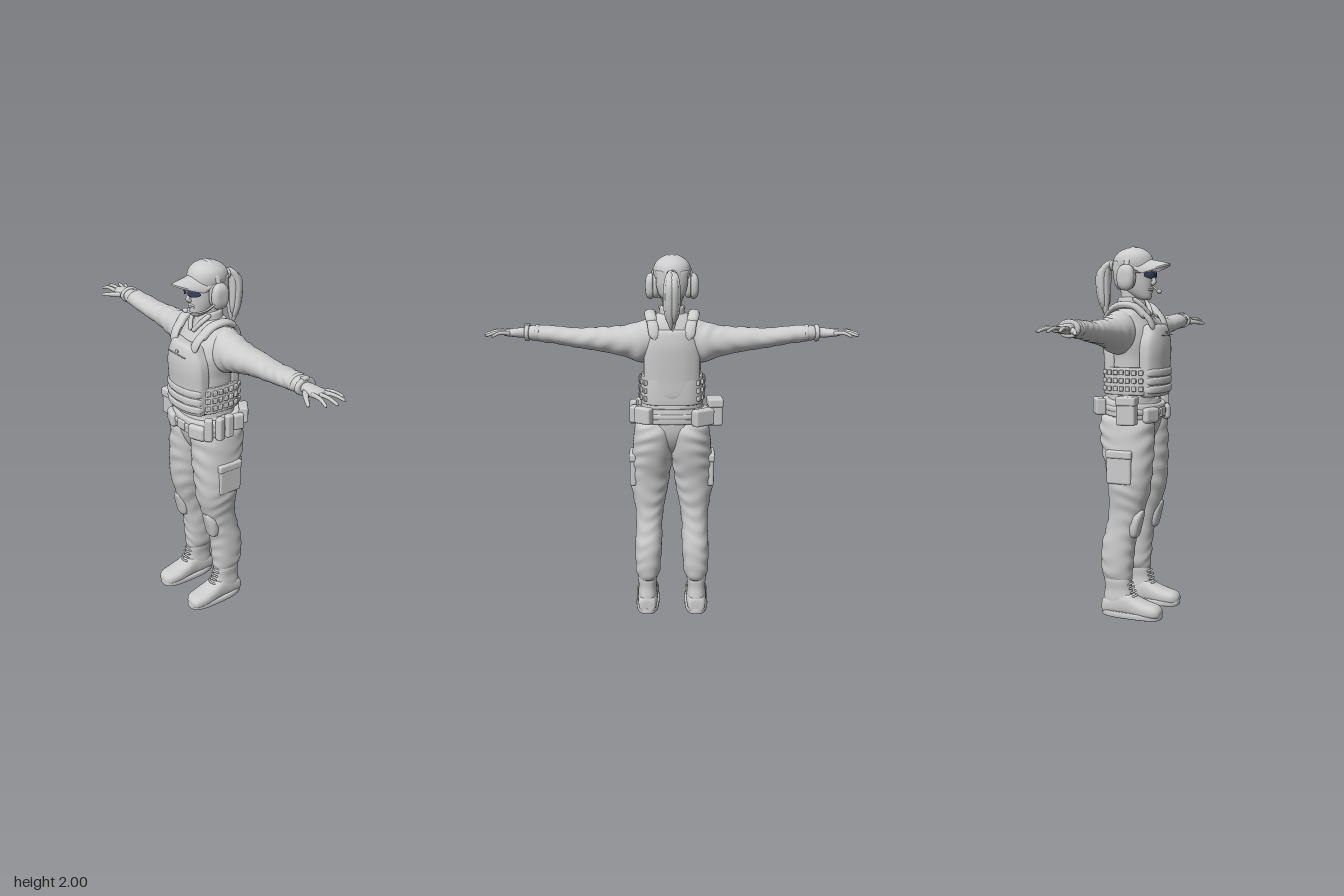
import * as THREE from 'three';
import { mergeVertices } from 'three/addons/utils/BufferGeometryUtils.js';
import { RoundedBoxGeometry } from 'three/addons/geometries/RoundedBoxGeometry.js';

// Axis order [along, u, v] for each loft direction
const AXES = { x: [0, 2, 1], y: [1, 0, 2], z: [2, 1, 0] };

function smoothRow(rows, i, t) {
  const at = k => rows[Math.max(0, Math.min(rows.length - 1, k))];
  const [a, b, c, d] = [at(i - 1), at(i), at(i + 1), at(i + 2)];
  return b.map((_, j) => b[j] + 0.5 * t * (c[j] - a[j] + t * (2 * a[j] - 5 * b[j] + 4 * c[j] - d[j]
    + t * (3 * (b[j] - c[j]) + d[j] - a[j]))));
}

// Skin through cross-sections [along, u min, u max, v min, v max]; p squares them, fold adds cloth wrinkles
function loft(rows, { axis = 'y', n = 40, p = 2, sub = 4, fold = 0, bend = null } = {}) {
  const [A, U, V] = AXES[axis], pos = [], index = [], rings = [];
  for (let i = 0; i < rows.length - 1; i++)
    for (let s = 0; s < sub; s++) rings.push(smoothRow(rows, i, s / sub));
  rings.push(rows[rows.length - 1]);
  const put = (t, u, v) => {
    const q = [0, 0, 0];
    q[A] = t; q[U] = u; q[V] = v;
    if (bend) bend(q);
    pos.push(...q);
  };
  const pow = c => Math.sign(c) * Math.abs(c) ** (2 / p);
  for (const [t, u0, u1, v0, v1] of rings)
    for (let j = 0; j < n; j++) {
      const a = j / n * Math.PI * 2;
      const w = 1 + fold * Math.sin(t * 75 + 2.2 * Math.sin(a * 2 + t * 8)) * (0.6 + 0.4 * Math.sin(a * 3 + t * 11));
      put(t, (u0 + u1) / 2 + (u1 - u0) / 2 * pow(Math.cos(a)) * w, (v0 + v1) / 2 + (v1 - v0) / 2 * pow(Math.sin(a)) * w);
    }
  for (let k = 0; k < rings.length - 1; k++)
    for (let j = 0; j < n; j++) {
      const a = k * n + j, b = k * n + (j + 1) % n;
      index.push(a, a + n, b, b, a + n, b + n);
    }
  const last = rings.length - 1, c = rings.length * n;
  for (const k of [0, last]) put(rings[k][0], (rings[k][1] + rings[k][2]) / 2, (rings[k][3] + rings[k][4]) / 2);
  for (let j = 0; j < n; j++) {
    const m = (j + 1) % n;
    index.push(c, j, m, c + 1, last * n + m, last * n + j);
  }
  const g = new THREE.BufferGeometry();
  g.setAttribute('position', new THREE.Float32BufferAttribute(pos, 3));
  g.setIndex(index);
  g.computeVertexNormals();
  return g;
}
// Sections symmetric about x = 0: [y, half width, z min, z max]
const body = (rows, opt) => loft(rows.map(([y, w, a, b]) => [y, -w, w, a, b]), opt);

// Tube whose radius follows r(t), optionally flattened per axis
function tube(points, r, flat = [1, 1, 1], segs = 20, radial = 12) {
  const curve = new THREE.CatmullRomCurve3(points.map(q => new THREE.Vector3(...q)));
  let g = new THREE.TubeGeometry(curve, segs, 1, radial);
  const at = g.attributes.position, v = new THREE.Vector3(), f = new THREE.Vector3(...flat);
  for (let i = 0; i < at.count; i++) {
    const t = Math.floor(i / (radial + 1)) / segs, c = curve.getPointAt(t);
    v.fromBufferAttribute(at, i).sub(c).multiply(f).multiplyScalar(Math.max(0.0004, r(t))).add(c);
    at.setXYZ(i, v.x, v.y, v.z);
  }
  g.deleteAttribute('uv');
  g.deleteAttribute('normal');
  g = mergeVertices(g, 1e-6);
  g.computeVertexNormals();
  return g;
}
const rounded = (r0, r1 = r0) => t => (r0 + (r1 - r0) * t) * Math.min(1, Math.sqrt(t * (1 - t)) * 4);

function mirrored(geo) {
  const g = geo.index ? geo.clone() : mergeVertices(geo);
  g.scale(-1, 1, 1);
  const ix = g.index.array;
  for (let i = 0; i < ix.length; i += 3) [ix[i], ix[i + 1]] = [ix[i + 1], ix[i]];
  return g;
}
function box(x, y, z, w, h, d, rot = 0, r = 0.012) {
  return new RoundedBoxGeometry(w, h, d, 2, Math.min(r, w / 2.1, h / 2.1, d / 2.1)).rotateY(rot).translate(x, y, z);
}

export function createModel() {
  const model = new THREE.Group();
  const grey = new THREE.MeshStandardMaterial({ color: 0xcccccc });
  grey.name = 'light grey';
  const blue = new THREE.MeshStandardMaterial({ color: 0x33435f });
  blue.name = 'lens blue';
  const add = (name, geo, mat = grey) => {
    const m = new THREE.Mesh(geo, mat);
    m.name = name;
    model.add(m);
  };
  const pair = (name, geo, mat) => {
    add(name + 'Left', geo, mat);
    add(name + 'Right', mirrored(geo), mat);
  };

  // Trousers
  pair('trouserLeg', loft([[0.2, 0.085, 0.19, -0.11, 0.038], [0.235, 0.068, 0.2, -0.125, 0.045], [0.3, 0.062, 0.205, -0.13, 0.05],
    [0.4, 0.055, 0.205, -0.125, 0.06], [0.5, 0.055, 0.2, -0.1, 0.08], [0.6, 0.045, 0.205, -0.085, 0.113], [0.7, 0.025, 0.222, -0.09, 0.14],
    [0.8, 0.01, 0.227, -0.1, 0.148], [0.9, -0.002, 0.22, -0.127, 0.155], [1, -0.012, 0.212, -0.145, 0.155], [1.08, -0.01, 0.2, -0.145, 0.15],
    [1.12, 0.01, 0.17, -0.12, 0.13]], { fold: 0.035, sub: 6, p: 2.2 }));
  add('hips', body([[0.93, 0.03, -0.05, 0.07], [0.97, 0.1, -0.09, 0.11], [1.04, 0.19, -0.125, 0.14], [1.12, 0.195, -0.135, 0.15],
    [1.2, 0.165, -0.125, 0.135]]));
  pair('kneePad', loft([[0.445, 0.125, 0.16, 0.04, 0.08], [0.46, 0.105, 0.18, 0.04, 0.09], [0.5, 0.096, 0.188, 0.04, 0.1],
    [0.55, 0.098, 0.186, 0.05, 0.112], [0.585, 0.11, 0.174, 0.06, 0.12], [0.6, 0.125, 0.16, 0.07, 0.118]], { p: 2.6 }));
  pair('thighPocket', box(0.212, 0.83, 0.005, 0.036, 0.17, 0.14));
  pair('pocketFlap', box(0.214, 0.905, 0.005, 0.042, 0.045, 0.148));

  // Boots
  pair('bootShaft', loft([[0.06, 0.085, 0.19, -0.115, 0.07], [0.1, 0.084, 0.192, -0.116, 0.062], [0.15, 0.088, 0.188, -0.108, 0.045],
    [0.2, 0.083, 0.193, -0.11, 0.04], [0.235, 0.09, 0.185, -0.1, 0.03]], { p: 2.4 }));
  pair('bootFoot', loft([[-0.12, 0.02, 0.07, 0.11, 0.165], [-0.11, 0.005, 0.1, 0.092, 0.185], [-0.05, 0.004, 0.125, 0.082, 0.193],
    [0.02, 0.004, 0.14, 0.08, 0.196], [0.08, 0.004, 0.11, 0.077, 0.2], [0.14, 0.004, 0.088, 0.076, 0.203], [0.19, 0.006, 0.076, 0.085, 0.196],
    [0.212, 0.012, 0.06, 0.105, 0.18], [0.219, 0.02, 0.045, 0.12, 0.16]], { axis: 'z', p: 2.5 }));
  pair('bootSole', loft([[0, 0.076, 0.2, -0.12, 0.216], [0.006, 0.073, 0.204, -0.123, 0.221], [0.026, 0.073, 0.204, -0.123, 0.221],
    [0.032, 0.08, 0.198, -0.118, 0.214]], { p: 2.8, sub: 2 }));
  for (let i = 0; i < 5; i++) {
    const y = 0.115 + i * 0.022, z = 0.075 - i * 0.008;
    pair('bootLace' + (i + 1), tube([[0.105, y, z - 0.018], [0.138, y + 0.006, z], [0.17, y, z - 0.018]], rounded(0.006), [1, 1, 1], 8, 6));
  }

  // Jacket, collar and sleeves
  add('jacket', body([[1.12, 0.17, -0.125, 0.135], [1.2, 0.165, -0.125, 0.135], [1.3, 0.158, -0.115, 0.13], [1.4, 0.155, -0.12, 0.14],
    [1.5, 0.172, -0.135, 0.14], [1.57, 0.178, -0.135, 0.115], [1.63, 0.155, -0.12, 0.08], [1.67, 0.11, -0.105, 0.06], [1.695, 0.07, -0.09, 0.05]],
  { p: 2.3, fold: 0.012 }));
  add('collar', body([[1.65, 0.085, -0.1, 0.08], [1.69, 0.07, -0.092, 0.068], [1.725, 0.064, -0.088, 0.06], [1.732, 0.055, -0.08, 0.05]],
    { bend: q => { q[1] -= 0.25 * Math.max(0, q[2]); } }));
  pair('collarLapel', tube([[0.062, 1.725, 0.02], [0.045, 1.69, 0.065], [0.008, 1.635, 0.1]], rounded(0.013), [1, 1, 0.8]));
  pair('sleeve', loft([[0.09, -0.115, 0.06, 1.47, 1.665], [0.16, -0.125, 0.072, 1.43, 1.655], [0.22, -0.12, 0.07, 1.452, 1.636],
    [0.3, -0.11, 0.058, 1.475, 1.624], [0.4, -0.1, 0.045, 1.495, 1.62], [0.5, -0.09, 0.045, 1.51, 1.614], [0.6, -0.078, 0.05, 1.527, 1.622],
    [0.68, -0.068, 0.05, 1.537, 1.627], [0.74, -0.058, 0.045, 1.547, 1.625], [0.77, -0.045, 0.035, 1.558, 1.613]],
  { axis: 'x', fold: 0.035, sub: 6 }));
  for (const [i, x] of [0.7, 0.755].entries())
    pair('wristBand' + (i + 1), loft([[x, -0.06, 0.045, 1.55, 1.622], [x + 0.004, -0.066, 0.052, 1.542, 1.63],
      [x + 0.02, -0.064, 0.05, 1.543, 1.63], [x + 0.024, -0.055, 0.04, 1.552, 1.62]], { axis: 'x', sub: 2 }));
  add('watch', box(0.766, 1.627, -0.005, 0.03, 0.016, 0.036, 0, 0.005));

  // Hands
  pair('palm', loft([[0.765, -0.032, 0.028, 1.562, 1.61], [0.8, -0.036, 0.034, 1.56, 1.612], [0.84, -0.046, 0.04, 1.565, 1.608],
    [0.875, -0.05, 0.04, 1.57, 1.602], [0.89, -0.04, 0.03, 1.575, 1.597]], { axis: 'x', p: 2.3 }));
  const fingers = { little: [-0.04, 0.945, -0.09], ring: [-0.018, 0.984, -0.065], middle: [0.006, 1, -0.005], index: [0.029, 0.982, 0.052] };
  for (const [name, [z0, x, z]] of Object.entries(fingers))
    pair(name + 'Finger', tube([[0.85, 1.588, z0], [(0.87 + x) / 2, 1.593, (z0 + z) / 2], [x, 1.577, z]], rounded(0.0125, 0.007), [1, 1, 1], 12, 8));
  pair('thumb', tube([[0.8, 1.58, 0.02], [0.855, 1.575, 0.062], [0.912, 1.565, 0.097]], rounded(0.018, 0.008), [1, 1, 1], 12, 8));

  // Head and face
  add('neck', body([[1.64, 0.055, -0.075, 0.035], [1.7, 0.05, -0.07, 0.04], [1.79, 0.052, -0.075, 0.05]]));
  add('head', body([[1.715, 0.022, 0.045, 0.09], [1.728, 0.04, 0.005, 0.101], [1.76, 0.058, -0.05, 0.104], [1.8, 0.07, -0.085, 0.106],
    [1.85, 0.077, -0.102, 0.106], [1.9, 0.08, -0.105, 0.104], [1.95, 0.06, -0.08, 0.08]]));
  add('nose', tube([[0, 1.855, 0.1], [0, 1.83, 0.112], [0, 1.81, 0.118], [0, 1.8, 0.1]], rounded(0.006, 0.014)));
  for (const [name, y] of [['upperLip', 1.779], ['lowerLip', 1.77]])
    add(name, tube([[-0.026, y, 0.092], [0, y, 0.108], [0.026, y, 0.092]], rounded(0.006)));
  add('hair', body([[1.77, 0.045, -0.085, -0.02], [1.8, 0.07, -0.102, -0.01], [1.86, 0.083, -0.112, 0], [1.92, 0.084, -0.11, 0]], { fold: 0.015 }));

  // Ponytail made of overlapping locks
  for (let i = 0; i < 6; i++) {
    const a = i / 6 * Math.PI * 2, dx = 0.02 * Math.cos(a), dz = 0.017 * Math.sin(a), tip = 0.025 * Math.sin(i * 2.3);
    add('hairLock' + (i + 1), tube([[0, 1.895, -0.1], [dx * 0.6, 1.905 + dz * 0.5, -0.145], [dx, 1.86, -0.175 + dz], [dx * 1.1, 1.77, -0.178 + dz],
      [dx, 1.7, -0.172 + dz * 0.8], [dx * 0.4, 1.645 + tip, -0.165]], t => 0.024 * Math.sqrt(Math.sin(Math.PI * Math.min(1, 0.04 + t * 0.96)))));
  }
  add('hairTie', new THREE.TorusGeometry(0.021, 0.009, 8, 20).translate(0, 1.9, -0.125));

  // Cap with an arched brim
  add('capCrown', body([[1.868, 0.086, -0.108, 0.1], [1.88, 0.092, -0.114, 0.107], [1.915, 0.097, -0.115, 0.107], [1.95, 0.089, -0.1, 0.096],
    [1.976, 0.064, -0.068, 0.07], [1.99, 0.034, -0.034, 0.04], [1.994, 0.008, -0.008, 0.012]]));
  const brim = new THREE.BoxGeometry(2, 0.009, 1, 20, 1, 10);
  const bp = brim.attributes.position;
  for (let i = 0; i < bp.count; i++) {
    const u = bp.getX(i), v = bp.getZ(i) + 0.5;
    bp.setXYZ(i, 0.09 * u * (1 - 0.1 * v), 1.925 - 0.022 * v - 0.042 * u * u + bp.getY(i),
      0.1 - 0.07 * u * u + v * 0.108 * Math.sqrt(1 - 0.8 * u * u));
  }
  brim.computeVertexNormals();
  add('capBrim', brim);

  // Sunglasses
  const wrap = g => {
    const q = g.attributes.position;
    for (let i = 0; i < q.count; i++) q.setZ(i, q.getZ(i) + 0.125 - 8.5 * q.getX(i) ** 2);
    g.computeVertexNormals();
    return g;
  };
  pair('lens', wrap(new THREE.SphereGeometry(1, 24, 16).scale(0.031, 0.019, 0.004).translate(0.037, 1.848, 0)), blue);
  add('glassesFrame', wrap(tube([[-0.072, 1.86, 0], [-0.036, 1.868, 0], [0, 1.86, 0], [0.036, 1.868, 0], [0.072, 1.86, 0]], rounded(0.004))));
  pair('glassesTemple', tube([[0.07, 1.86, 0.083], [0.083, 1.862, 0.04], [0.085, 1.86, -0.01]], rounded(0.004)));

  // Ear defenders with microphone
  pair('earCup', loft([[0.07, -0.036, 0.036, 1.785, 1.885], [0.08, -0.045, 0.045, 1.772, 1.898], [0.096, -0.045, 0.045, 1.772, 1.898],
    [0.1, -0.038, 0.038, 1.78, 1.89], [0.106, -0.048, 0.048, 1.766, 1.902], [0.126, -0.046, 0.046, 1.77, 1.895],
    [0.137, -0.034, 0.034, 1.79, 1.875], [0.14, -0.02, 0.02, 1.81, 1.855]], { axis: 'x', p: 2.5 }));
  add('headband', new THREE.TorusGeometry(0.107, 0.007, 8, 40, Math.PI).scale(1, 1.22, 2.2).translate(0, 1.86, 0));
  add('microphoneBoom', tube([[0.125, 1.81, 0.03], [0.11, 1.775, 0.085], [0.06, 1.757, 0.13], [0.012, 1.76, 0.14]], rounded(0.005)));
  add('microphone', new THREE.SphereGeometry(0.013, 16, 12).scale(1.3, 1, 1).translate(0.012, 1.76, 0.142));

  // Plate carrier
  const bowFront = q => { q[2] -= 2 * q[0] * q[0]; }, bowBack = q => { q[2] += 1.8 * q[0] * q[0]; };
  add('frontPlate', body([[1.205, 0.125, 0.13, 0.172], [1.215, 0.14, 0.12, 0.19], [1.26, 0.147, 0.12, 0.195], [1.36, 0.147, 0.12, 0.195],
    [1.44, 0.148, 0.12, 0.2], [1.5, 0.141, 0.12, 0.197], [1.555, 0.115, 0.11, 0.186], [1.58, 0.102, 0.11, 0.174], [1.588, 0.092, 0.12, 0.16]],
  { p: 5, n: 64, bend: bowFront }));
  for (let i = 0; i < 3; i++) {
    const y = 1.225 + i * 0.045;
    add('frontRib' + (i + 1), body([[y, 0.136, 0.15, 0.194], [y + 0.008, 0.146, 0.15, 0.202], [y + 0.032, 0.146, 0.15, 0.202],
      [y + 0.041, 0.136, 0.15, 0.195]], { p: 5, n: 64, bend: bowFront }));
  }
  add('chestTab', box(0, 1.545, 0.188, 0.022, 0.014, 0.012, 0, 0.004));
  add('chestSeam', box(0, 1.53, 0.192, 0.15, 0.004, 0.008, 0, 0.002));
  add('backPlate', body([[1.255, 0.125, -0.13, -0.09], [1.265, 0.14, -0.145, -0.08], [1.35, 0.147, -0.148, -0.08], [1.47, 0.147, -0.155, -0.08],
    [1.54, 0.132, -0.156, -0.08], [1.605, 0.105, -0.146, -0.08], [1.62, 0.092, -0.132, -0.09]], { p: 5, n: 64, bend: bowBack }));
  pair('shoulderStrap', tube([[0.085, 1.55, 0.155], [0.098, 1.62, 0.125], [0.112, 1.675, 0.055], [0.114, 1.683, -0.03], [0.1, 1.645, -0.105],
    [0.088, 1.57, -0.14]], rounded(0.013), [2.2, 1, 1], 32));
  pair('shoulderPad', tube([[0.1, 1.62, 0.118], [0.113, 1.68, 0.055], [0.115, 1.69, -0.03], [0.103, 1.655, -0.1]], rounded(0.019), [1.6, 1, 1], 24));

  // Side band with webbing loops
  add('sideBand', body([[1.22, 0.162, -0.135, 0.155], [1.23, 0.17, -0.142, 0.16], [1.35, 0.166, -0.142, 0.16], [1.362, 0.158, -0.135, 0.155]], { p: 3 }));
  for (let r = 0; r < 3; r++)
    for (let i = 0; i < 7; i++) {
      const z = -0.105 + i * 0.035, e = (z - 0.01) / 0.152;
      const x = 0.17 * (1 - Math.abs(e) ** 3) ** (1 / 3);
      pair(`webbingLoop${r + 1}_${i + 1}`, box(x, 1.25 + r * 0.043, z, 0.02, 0.026, 0.025, -Math.sign(e) * e * e * 0.8, 0.005));
    }

  // Belt, tilted down at the front, with pouches
  const tilt = q => { q[1] -= 0.12 * q[2]; };
  add('belt', body([[1.1, 0.195, -0.148, 0.155], [1.108, 0.206, -0.156, 0.165], [1.172, 0.2, -0.154, 0.162], [1.182, 0.188, -0.145, 0.152]],
    { p: 2.3, bend: tilt }));
  add('beltTrim', body([[1.125, 0.2, -0.15, 0.16], [1.13, 0.21, -0.16, 0.169], [1.152, 0.209, -0.159, 0.168], [1.157, 0.2, -0.15, 0.16]],
    { p: 2.3, sub: 2, bend: tilt }));
  add('buckle', box(0, 1.118, 0.166, 0.06, 0.05, 0.02, 0, 0.006));
  pair('frontPouch', box(0.115, 1.11, 0.145, 0.105, 0.085, 0.045, 0.4, 0.02));
  const pouches = [['holsterPouch', -0.236, 1.142, 0.06, 0.075, 0.15, 0.1, 0.1], ['holsterFlap', -0.236, 1.195, 0.06, 0.084, 0.05, 0.108, 0.1],
    ['utilityPouch', -0.165, 1.155, -0.13, 0.12, 0.09, 0.055, 0.6], ['backPouch', 0.15, 1.165, -0.132, 0.1, 0.09, 0.05, -0.6],
    ['magazinePouch1', 0.175, 1.14, 0.115, 0.045, 0.13, 0.04, 0.8], ['magazinePouch2', 0.206, 1.145, 0.062, 0.04, 0.13, 0.045, 0.25],
    ['magazinePouch3', 0.21, 1.15, 0.008, 0.04, 0.13, 0.045, 0], ['sidePouch', 0.205, 1.155, -0.055, 0.04, 0.09, 0.06, -0.2]];
  for (const [name, ...spec] of pouches) add(name, box(...spec));

  return model;
}
